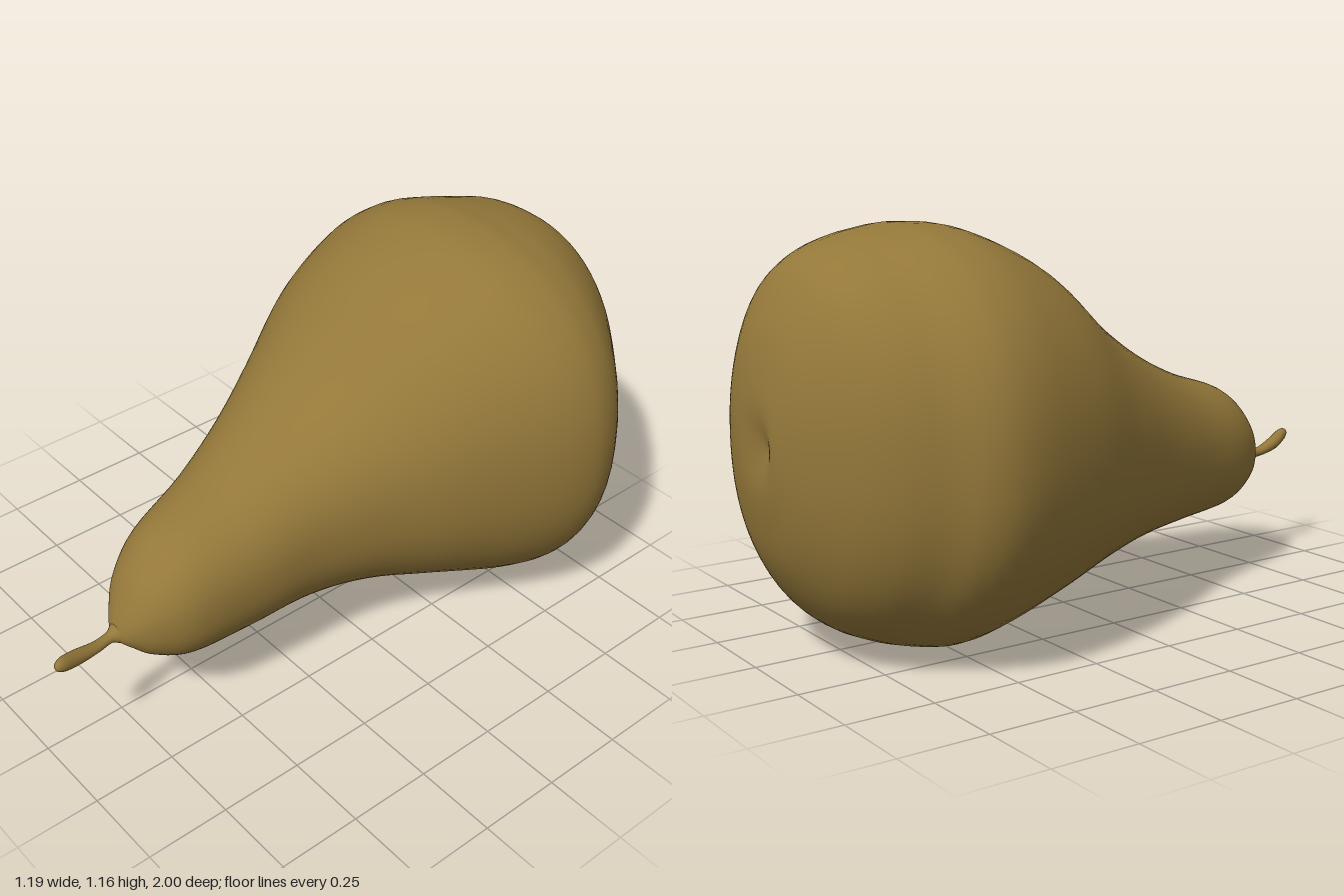
import * as THREE from 'three';
import { mergeVertices } from 'three/addons/utils/BufferGeometryUtils.js';

// Smooth loft through sections [z, top, bottom, xMin, xMax], listed front to back
function loft(sections, steps, sides, power) {
  const last = sections.length - 1;
  const sample = (t, k) => {
    const i = Math.min(Math.floor(t), last - 1), f = t - i;
    const at = (n) => sections[Math.max(0, Math.min(last, n))][k];
    const [a, b, c, d] = [at(i - 1), at(i), at(i + 1), at(i + 2)];
    return b + 0.5 * f * (c - a + f * (2 * a - 5 * b + 4 * c - d + f * (3 * (b - c) + d - a)));
  };
  const bend = (v) => Math.sign(v) * Math.pow(Math.abs(v), 2 / power);
  const positions = [], index = [], rows = last * steps;
  for (let i = 0; i <= rows; i++) {
    const [z, top, bottom, x0, x1] = [0, 1, 2, 3, 4].map((k) => sample(i / steps, k));
    for (let j = 0; j < sides; j++) {
      const angle = (j / sides) * Math.PI * 2;
      positions.push(
        (x0 + x1) / 2 + ((x1 - x0) / 2) * bend(Math.cos(angle)),
        (top + bottom) / 2 + ((top - bottom) / 2) * bend(Math.sin(angle)),
        z
      );
      if (i === rows) continue;
      const n = (j + 1) % sides;
      const a = i * sides + j, b = i * sides + n;
      index.push(a, a + sides, b, b, a + sides, b + sides);
    }
  }
  let geometry = new THREE.BufferGeometry();
  geometry.setAttribute('position', new THREE.Float32BufferAttribute(positions, 3));
  geometry.setIndex(index);
  geometry = mergeVertices(geometry, 1e-5);
  geometry.computeVertexNormals();
  return geometry;
}

export function createModel() {
  const group = new THREE.Group();
  group.name = 'pear';
  const skin = new THREE.MeshStandardMaterial({ color: 0x94783a });
  skin.name = 'olive brown skin';

  // Fruit lying on its side: narrow neck at the front, broad belly at the back
  const fruit = new THREE.Mesh(loft([
    [0.785, 0.35, 0.35, 0.06, 0.06],
    [0.78, 0.38, 0.33, 0.03, 0.09],
    [0.75, 0.445, 0.3, -0.015, 0.135],
    [0.7, 0.52, 0.255, -0.07, 0.18],
    [0.6, 0.6, 0.213, -0.13, 0.227],
    [0.4, 0.665, 0.197, -0.2, 0.25],
    [0.2, 0.755, 0.183, -0.285, 0.272],
    [0, 0.88, 0.147, -0.39, 0.34],
    [-0.2, 1.045, 0.085, -0.495, 0.45],
    [-0.4, 1.14, 0.024, -0.57, 0.55],
    [-0.53, 1.157, 0.001, -0.596, 0.59],
    [-0.62, 1.145, 0.013, -0.578, 0.58],
    [-0.7, 1.128, 0.035, -0.525, 0.53],
    [-0.8, 1.095, 0.085, -0.465, 0.43],
    [-0.88, 1.035, 0.16, -0.39, 0.34],
    [-0.95, 0.92, 0.275, -0.28, 0.22],
    [-0.985, 0.81, 0.39, -0.2, 0.13],
    [-1, 0.7, 0.5, -0.14, 0.03],
    [-0.985, 0.6, 0.6, -0.1, -0.1],
  ], 5, 64, 2.2), skin);
  fruit.name = 'fruit';

  // Curved stem, flared at the base and rounded at the tip
  const stem = new THREE.Mesh(loft([
    [1, 0.395, 0.395, 0.107, 0.107],
    [0.995, 0.404, 0.38, 0.096, 0.118],
    [0.97, 0.407, 0.364, 0.08, 0.12],
    [0.92, 0.389, 0.347, 0.061, 0.107],
    [0.85, 0.366, 0.337, 0.05, 0.088],
    [0.8, 0.367, 0.334, 0.042, 0.077],
    [0.775, 0.385, 0.323, 0.028, 0.092],
    [0.74, 0.39, 0.315, 0.02, 0.1],
  ], 4, 20, 2), skin);
  stem.name = 'stem';

  group.add(fruit, stem);
  return group;
}
